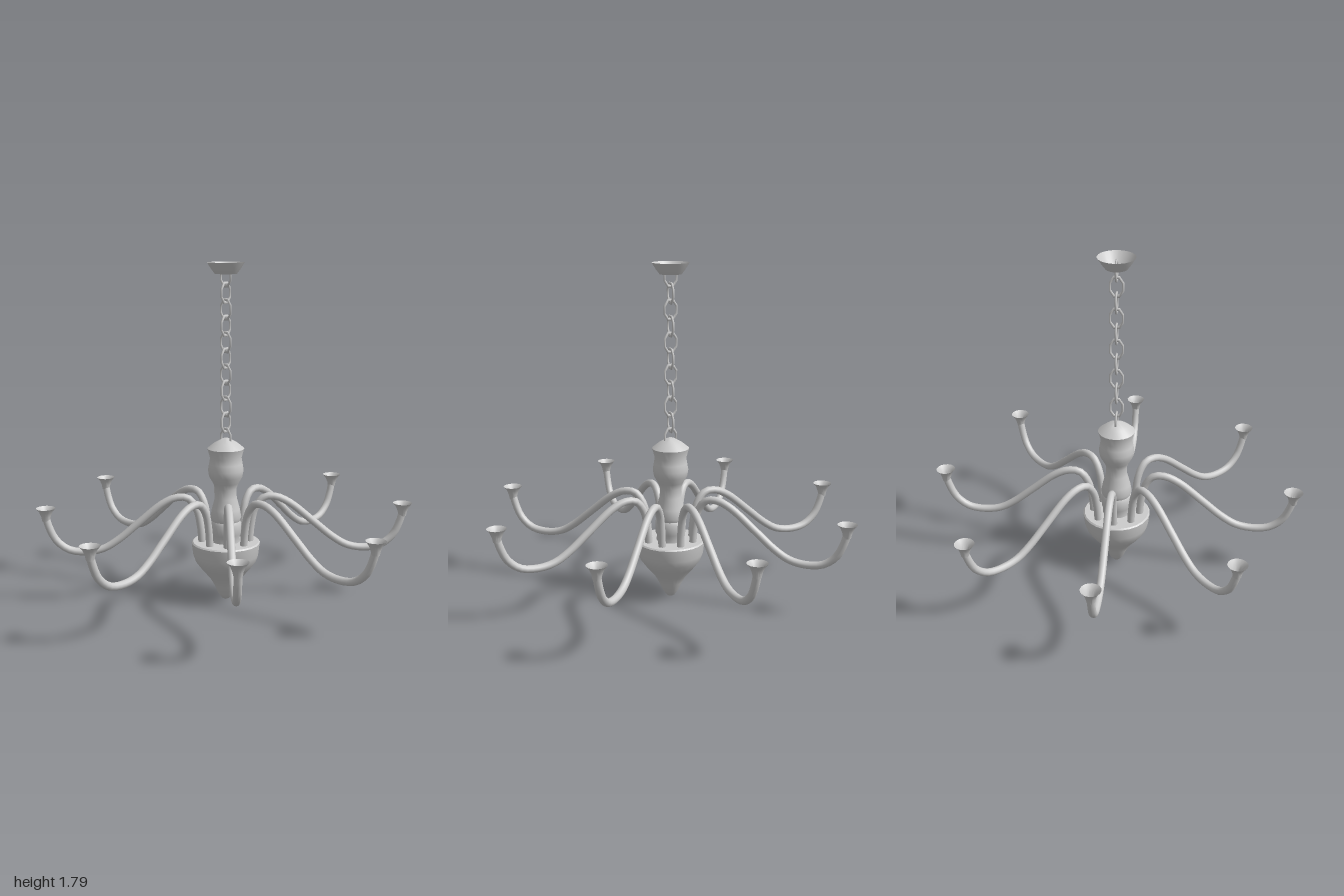
import * as THREE from 'three';
import { toCreasedNormals } from 'three/addons/utils/BufferGeometryUtils.js';

const metal = new THREE.MeshStandardMaterial({ color: 0xcccccc });
const thinMetal = new THREE.MeshStandardMaterial({ color: 0xcccccc, side: THREE.DoubleSide });
const vectors = (points) => points.map(([x, y]) => new THREE.Vector2(x, y));

function lathe(name, points, segments, material = metal) {
  const geometry = toCreasedNormals(new THREE.LatheGeometry(vectors(points), segments), 0.7);
  const mesh = new THREE.Mesh(geometry, material);
  mesh.name = name;
  return mesh;
}

export function createModel() {
  const model = new THREE.Group();
  model.name = 'chandelier';

  // Turned bowl with a drop-shaped underside
  model.add(lathe('bowl', [
    [0, 0.005], [0.02, 0.015], [0.042, 0.045], [0.062, 0.09], [0.085, 0.13], [0.128, 0.18],
    [0.162, 0.225], [0.174, 0.26], [0.182, 0.325], [0.175, 0.332], [0.06, 0.332],
  ], 24));

  // Turned baluster column
  model.add(lathe('column', [
    [0.075, 0.33], [0.073, 0.36], [0.08, 0.375], [0.082, 0.43], [0.075, 0.445], [0.082, 0.465],
    [0.074, 0.51], [0.058, 0.57], [0.056, 0.62], [0.068, 0.65], [0.088, 0.685], [0.094, 0.72],
    [0.088, 0.755], [0.083, 0.785], [0.097, 0.835], [0.06, 0.865], [0.018, 0.888], [0, 0.889],
  ], 24));

  // Chain of octagonal links, each turned a quarter from the last
  const linkGeometry = new THREE.TorusGeometry(0.035, 0.006, 6, 8);
  linkGeometry.rotateZ(Math.PI / 8).scale(1, 1.5, 1);
  const chain = new THREE.Group();
  chain.name = 'chain';
  for (let i = 0; i < 11; i++) {
    const link = new THREE.Mesh(linkGeometry, metal);
    link.name = 'chainLink';
    link.position.y = 0.89 + i * 0.0835;
    link.rotation.y = i % 2 ? 0 : Math.PI / 2;
    chain.add(link);
  }
  model.add(chain);

  // Open ceiling cup
  model.add(lathe('ceilingCup', [[0, 1.737], [0.056, 1.737], [0.075, 1.762], [0.096, 1.795]], 24, thinMetal));

  // Eight S-curved arms, each ending in a flared candle cup
  const path = new THREE.CatmullRomCurve3([
    [0.125, 0.31], [0.133, 0.41], [0.155, 0.51], [0.2, 0.568], [0.26, 0.573], [0.335, 0.54],
    [0.47, 0.43], [0.57, 0.347], [0.65, 0.3], [0.74, 0.284], [0.83, 0.298],
    [0.895, 0.35], [0.93, 0.42], [0.943, 0.465],
  ].map(([x, y]) => new THREE.Vector3(x, y, 0)));
  const armGeometry = new THREE.TubeGeometry(path, 40, 0.02, 12);
  for (let i = 0; i < 8; i++) {
    const arm = new THREE.Group();
    arm.name = 'arm';
    const tube = new THREE.Mesh(armGeometry, metal);
    tube.name = 'armTube';
    const cup = lathe('candleCup', [
      [0, 0.455], [0.02, 0.455], [0.025, 0.48], [0.035, 0.505], [0.051, 0.525],
    ], 16, thinMetal);
    cup.position.x = 0.945;
    arm.add(tube, cup);
    arm.rotation.y = (i * Math.PI) / 4;
    model.add(arm);
  }
  return model;
}
